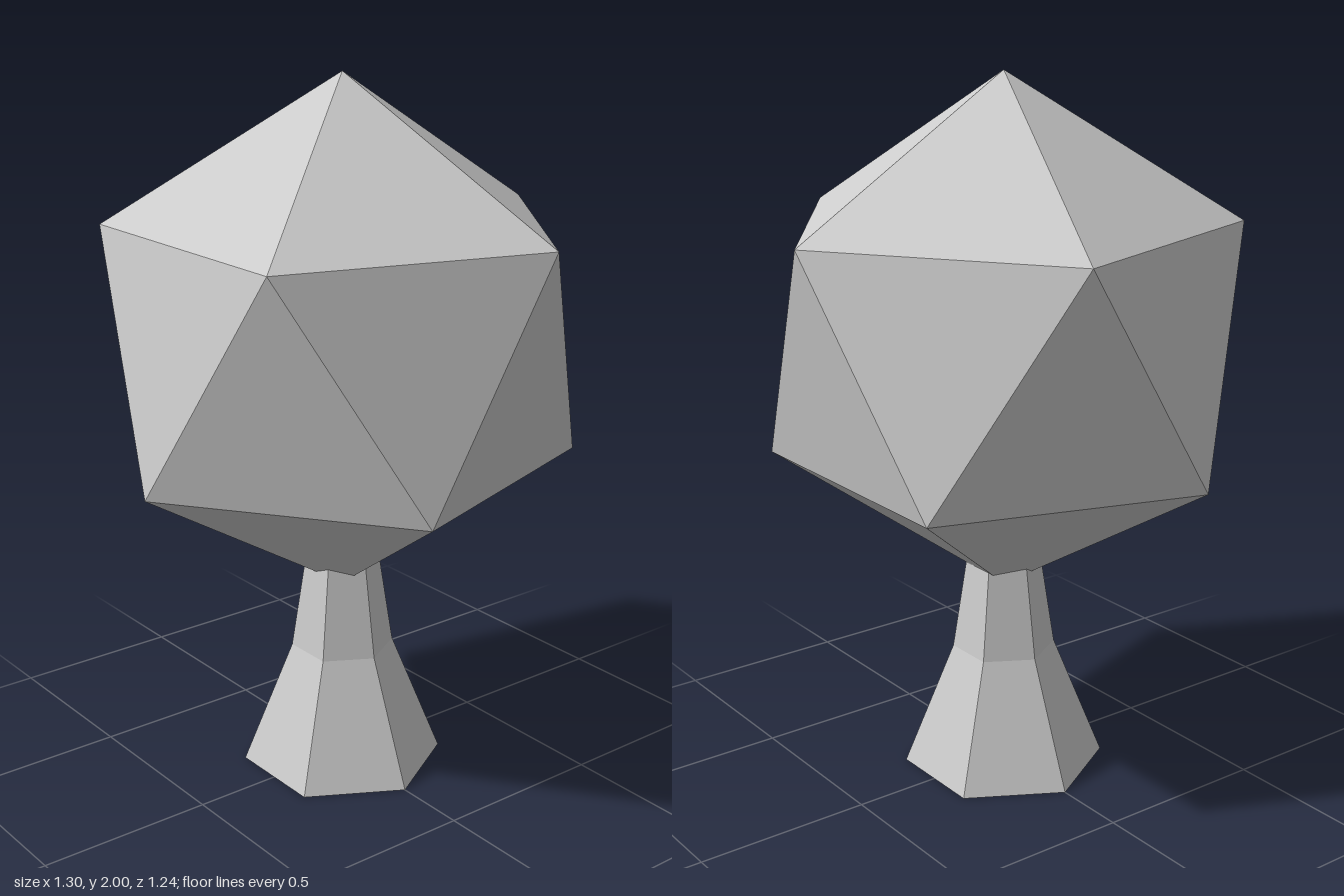
import * as THREE from 'three';

export function createModel() {
  const group = new THREE.Group();
  const material = new THREE.MeshStandardMaterial({ color: 0xcccccc, flatShading: true });
  const add = (name, geometry) => {
    const mesh = new THREE.Mesh(geometry, material);
    mesh.name = name;
    group.add(mesh);
    return mesh;
  };

  // Six-sided trunk, flared at the foot, closed below, running up into the crown
  const profile = [[0, 0], [0.29, 0], [0.147, 0.36], [0.103, 0.65]]
    .map(([r, y]) => new THREE.Vector2(r, y));
  add('trunk', new THREE.LatheGeometry(profile, 6));

  // Icosahedral crown, tipped so that one vertex points straight up
  const radius = 0.727;
  const golden = (1 + Math.sqrt(5)) / 2;
  const crown = add('crown', new THREE.IcosahedronGeometry(radius, 0).rotateZ(-Math.atan(1 / golden)));
  crown.position.y = 2 - radius;

  return group;
}
